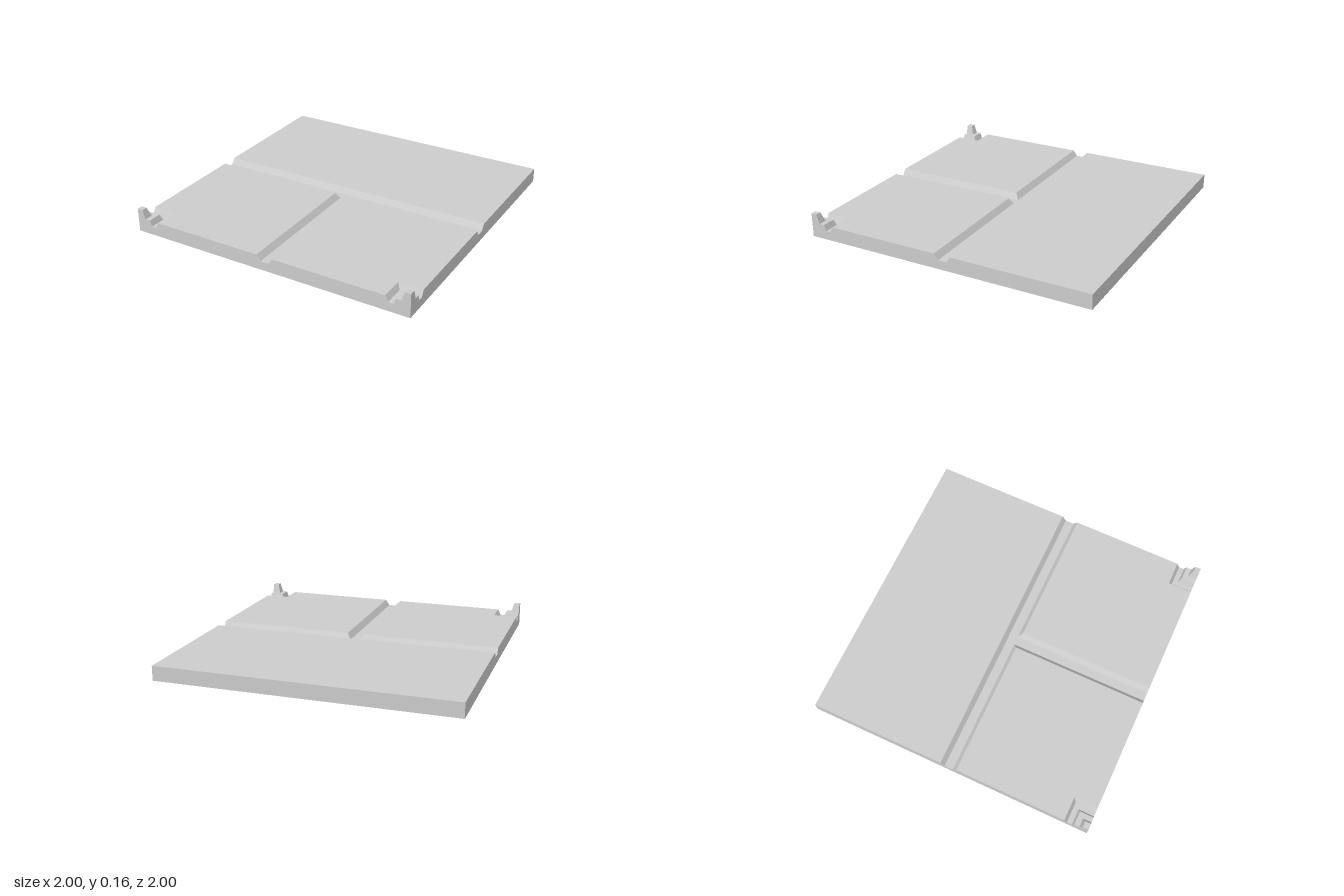
import * as THREE from 'three';

const TOP = 0.1, FLOOR = 0.06, POST = 0.163;

// Channel cross-section: [distance from centre line, height]
const CHANNEL = [[0.03, FLOOR], [0.058, TOP]];
// Corner cross-section: [distance from the corner's outer sides, height]
const CORNER = [[0, POST], [0.04, POST], [0.06, TOP], [0.095, TOP], [0.11, FLOOR], [0.145, FLOOR], [0.165, TOP]];

// Height along a stepped profile, constant beyond both ends
function along(profile, d) {
  if (d <= profile[0][0]) return profile[0][1];
  for (let i = 1; i < profile.length; i++) {
    const [a, ha] = profile[i - 1], [b, hb] = profile[i];
    if (d <= b) return ha + (hb - ha) * (d - a) / (b - a);
  }
  return profile[profile.length - 1][1];
}

// Top surface: cross channel, front channel, and a mitred post with moat at each front corner
function height(x, z) {
  const cross = along(CHANNEL, Math.abs(z));
  const front = z > 0 ? along(CHANNEL, Math.abs(x)) : TOP;
  const corner = along(CORNER, Math.max(1 - Math.abs(x), 1 - z));
  return corner !== TOP ? corner : Math.min(cross, front);
}

function facetedMesh(name, positions, material) {
  const geometry = new THREE.BufferGeometry();
  geometry.setAttribute('position', new THREE.Float32BufferAttribute(positions, 3));
  geometry.computeVertexNormals();
  const mesh = new THREE.Mesh(geometry, material);
  mesh.name = name;
  return mesh;
}

export function createModel() {
  const group = new THREE.Group();
  group.name = 'floorTile';
  const material = new THREE.MeshStandardMaterial({ color: 0xcccccc, flatShading: true });

  // Grid lines run along every crease
  const channelLines = CHANNEL.map(p => p[0]);
  const cornerLines = CORNER.map(p => 1 - p[0]);
  const half = [...channelLines, ...cornerLines];
  const ascending = (a, b) => a - b;
  const xs = [...half, 0, ...half.map(v => -v)].sort(ascending);
  const zs = [-1, ...channelLines.map(v => -v), 0, ...half].sort(ascending);
  const at = (x, z) => [x, height(x, z), z];

  // Top surface, each cell split along the mitre direction of its half
  const top = [];
  for (let i = 0; i < xs.length - 1; i++) {
    for (let j = 0; j < zs.length - 1; j++) {
      const a = at(xs[i], zs[j]), b = at(xs[i], zs[j + 1]);
      const c = at(xs[i + 1], zs[j + 1]), d = at(xs[i + 1], zs[j]);
      if (xs[i] >= 0) top.push(...a, ...b, ...c, ...a, ...c, ...d);
      else top.push(...a, ...b, ...d, ...b, ...c, ...d);
    }
  }
  group.add(facetedMesh('groovedTop', top, material));

  // Outer walls, following the top edge down to the ground
  const wall = (name, path) => {
    const out = [];
    for (let i = 0; i < path.length - 1; i++) {
      const [p, q] = [path[i], path[i + 1]];
      const pt = at(...p), qt = at(...q);
      const pb = [p[0], 0, p[1]], qb = [q[0], 0, q[1]];
      out.push(...pb, ...qb, ...qt, ...pb, ...qt, ...pt);
    }
    group.add(facetedMesh(name, out, material));
  };
  wall('frontWall', xs.map(x => [x, 1]));
  wall('backWall', xs.map(x => [x, -1]).reverse());
  wall('leftWall', zs.map(z => [1, z]).reverse());
  wall('rightWall', zs.map(z => [-1, z]));

  // Flat underside
  const underside = new THREE.Mesh(new THREE.PlaneGeometry(2, 2).rotateX(Math.PI / 2), material);
  underside.name = 'underside';
  group.add(underside);

  return group;
}
